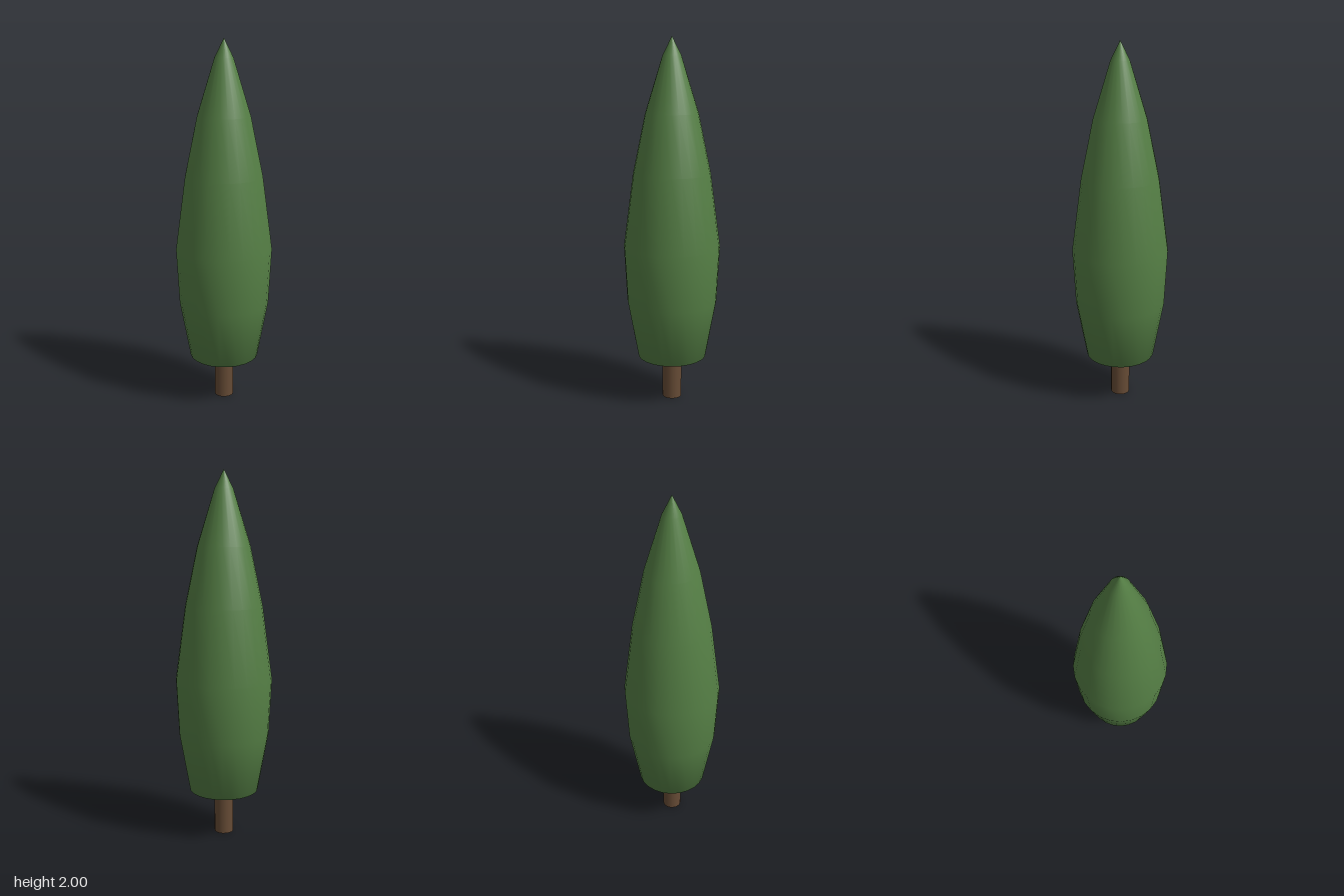
import * as THREE from 'three';

export function createModel() {
  const tree = new THREE.Group();
  tree.name = 'cypressTree';

  const leafGreen = new THREE.MeshStandardMaterial({ color: 0x557f45 });
  leafGreen.name = 'leafGreen';
  const barkBrown = new THREE.MeshStandardMaterial({ color: 0x664b35 });
  barkBrown.name = 'barkBrown';

  // Trunk: short smooth post, its top tucked inside the foliage
  const trunk = new THREE.Mesh(new THREE.CylinderGeometry(0.053, 0.053, 0.24, 16), barkBrown);
  trunk.name = 'trunk';
  trunk.position.y = 0.12;

  // Foliage: slender turned profile, from the underside to the tip
  const profile = [
    [0.05, 0.2], [0.19, 0.25], [0.248, 0.57], [0.264, 0.88],
    [0.21, 1.28], [0.143, 1.6], [0.05, 1.9], [0, 2],
  ].map(([r, y]) => new THREE.Vector2(r, y));
  const foliage = new THREE.Mesh(new THREE.LatheGeometry(profile, 24), leafGreen);
  foliage.name = 'foliage';

  tree.add(trunk, foliage);
  return tree;
}
